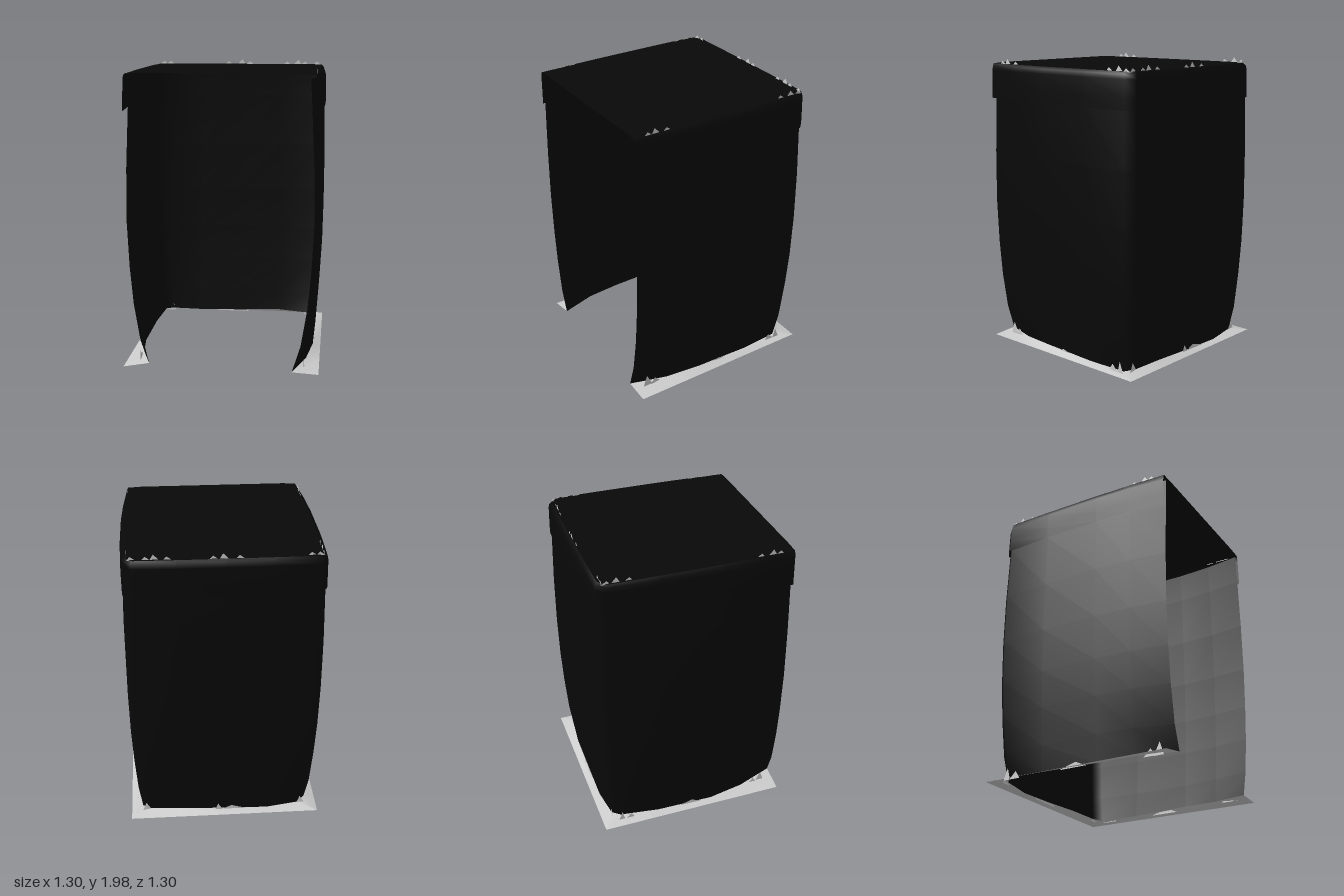
import * as THREE from 'three';

const FRONT = 0.65;
const black = new THREE.MeshStandardMaterial({ color: 0x080808, side: THREE.DoubleSide });
const grey = new THREE.MeshStandardMaterial({ color: 0xcccccc, side: THREE.DoubleSide });

// Three-sided outline, right front -> back -> left front.
// m: half width at the middle, f: half width at the open front, c: corner size
function section(y, m, f, c) {
  const half = [
    [f, FRONT], [f + (m - f) * 0.7, 0.4], [m, 0.15], [m, -0.25],
    [c + 0.022, -c + 0.03], [c - 0.03, -c - 0.022], [0.3, -m],
  ];
  const mirrored = half.map(([x, z]) => [-x, z]).reverse();
  return [...half, [0, -m], ...mirrored].map(([x, z]) => new THREE.Vector3(x, y, z));
}

// Surface through rows of points
function loft(name, rows, material) {
  const n = rows[0].length, index = [];
  for (let j = 0; j < rows.length - 1; j++) {
    for (let i = 0; i < n - 1; i++) {
      const a = j * n + i, b = a + n;
      index.push(a, a + 1, b, a + 1, b + 1, b);
    }
  }
  const geometry = new THREE.BufferGeometry().setFromPoints(rows.flat());
  geometry.setIndex(index);
  geometry.computeVertexNormals();
  const mesh = new THREE.Mesh(geometry, material);
  mesh.name = name;
  return mesh;
}

// Loose upright triangles along an edge: [x, z, width, height, runs along z]
function tufts(name, y, list) {
  const points = list.flatMap(([x, z, w, h, alongZ]) => {
    const dx = alongZ ? 0 : w / 2, dz = alongZ ? w / 2 : 0;
    return [
      new THREE.Vector3(x - dx, y, z + dz),
      new THREE.Vector3(x + dx, y, z - dz),
      new THREE.Vector3(x + dx * 0.2, y + h, z + dz * 0.2),
    ];
  });
  const geometry = new THREE.BufferGeometry().setFromPoints(points);
  geometry.computeVertexNormals();
  const mesh = new THREE.Mesh(geometry, grey);
  mesh.name = name;
  return mesh;
}

export function createModel() {
  const model = new THREE.Group();
  model.name = 'drapedCover';

  // Bulging side and back walls, pinched at the hem
  const hem = section(0.02, 0.598, 0.475, 0.55);
  hem.forEach((p, i) => { p.y += [0, 0.012, 0.022, 0.008][i % 4]; });
  model.add(loft('walls', [
    hem,
    section(0.2, 0.613, 0.53, 0.575),
    section(0.45, 0.63, 0.57, 0.593),
    section(0.7, 0.643, 0.592, 0.605),
    section(1.0, 0.648, 0.605, 0.611),
    section(1.35, 0.648, 0.6, 0.61),
    section(1.72, 0.64, 0.582, 0.602),
    section(1.93, 0.625, 0.57, 0.592),
  ], black));

  // Lid skirt with a rounded upper edge
  const rim = section(1.955, 0.615, 0.6, 0.59);
  model.add(loft('lidSkirt', [
    section(1.72, 0.65, 0.618, 0.611),
    section(1.8, 0.648, 0.615, 0.61),
    section(1.91, 0.645, 0.612, 0.608),
    section(1.94, 0.635, 0.608, 0.602),
    rim,
  ], black));

  // Flat lid, shrinking towards the middle of the front edge
  model.add(loft('lidTop', [1, 0.85, 0.4, 0].map((s) => rim.map((p) =>
    new THREE.Vector3(p.x * s, s === 1 ? p.y : 1.96, FRONT + (p.z - FRONT) * s))), black));

  // Ground border from a square outer edge to the hem
  const border = hem.map((p, i) => {
    const k = Math.min(i, hem.length - 1 - i), side = Math.sign(p.x);
    const x = k < 6 ? side * FRONT : p.x;
    const z = k === 4 || k === 5 ? -FRONT : k > 5 ? -FRONT : p.z;
    return new THREE.Vector3(x, 0.01, z);
  });
  model.add(loft('groundBorder', [border, hem], grey));

  // Small ragged points on the lid and at the hem
  const top = [], bottom = [];
  for (const x of [-0.58, -0.53, -0.09, 0.01, 0.07, 0.35, 0.43, 0.48, 0.57]) {
    top.push([x, -0.612 + Math.abs(x) * 0.03, 0.06, x === 0.01 || x === 0.43 ? 0.04 : 0.025, false]);
  }
  for (const s of [-1, 1]) {
    for (const z of [-0.57, -0.51, -0.43, 0.42, 0.5, 0.55]) {
      top.push([s * 0.602, z, 0.06, z === -0.51 || z === 0.5 ? 0.04 : 0.025, true]);
    }
    for (const [z, w, h] of [[0.55, 0.07, 0.085], [0.49, 0.08, 0.05], [-0.02, 0.2, 0.035], [-0.46, 0.08, 0.05], [-0.52, 0.05, 0.08]]) {
      bottom.push([s * (0.605 - Math.max(0, z) * 0.1), z, w, h, true]);
    }
    bottom.push([s * 0.54, -0.575, 0.07, 0.07, false]);
  }
  bottom.push([-0.07, -0.605, 0.22, 0.04, false], [0.04, -0.607, 0.06, 0.06, false]);
  model.add(tufts('lidTufts', 1.95, top), tufts('hemTufts', 0.015, bottom));

  return model;
}
